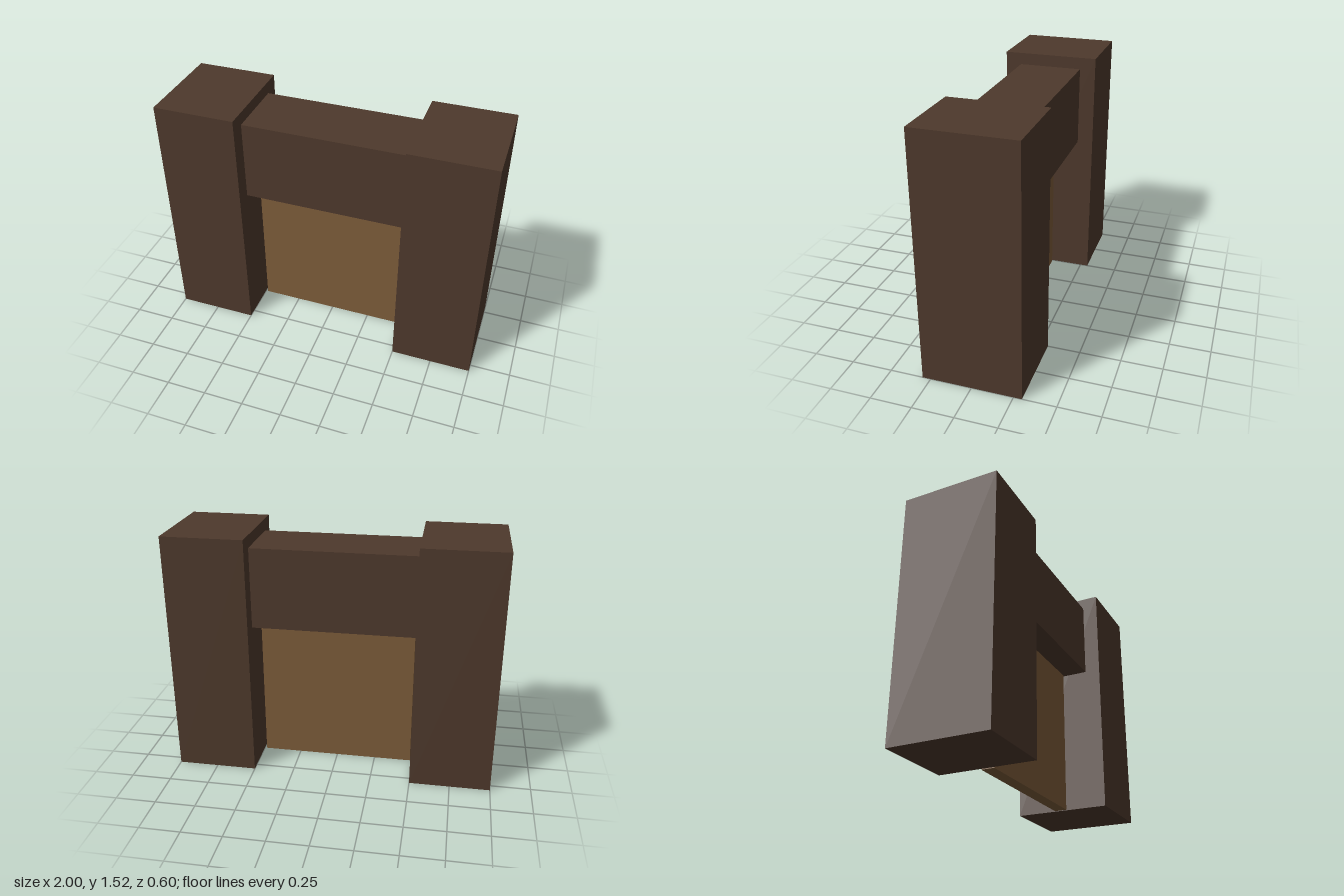
import * as THREE from 'three';

export function createModel() {
  const model = new THREE.Group();
  model.name = 'gateway';

  const darkWood = new THREE.MeshStandardMaterial({ color: 0x4e392c });
  darkWood.name = 'dark brown';
  const lightWood = new THREE.MeshStandardMaterial({ color: 0x7d5c3a });
  lightWood.name = 'light brown';

  // Box standing on the given base height
  function addBox(name, material, width, height, depth, x, base) {
    const mesh = new THREE.Mesh(new THREE.BoxGeometry(width, height, depth), material);
    mesh.name = name;
    mesh.position.set(x, base + height / 2, 0);
    model.add(mesh);
  }

  // Side pillars
  for (const side of [-1, 1]) {
    addBox(side > 0 ? 'leftPillar' : 'rightPillar', darkWood, 0.5, 1.525, 0.6, side * 0.75, 0);
  }

  // Beam between the pillars
  addBox('lintel', darkWood, 1, 0.5, 0.4, 0, 0.95);

  // Thin door with a narrow gap at each side
  addBox('door', lightWood, 0.97, 0.95, 0.08, 0, 0);

  return model;
}
